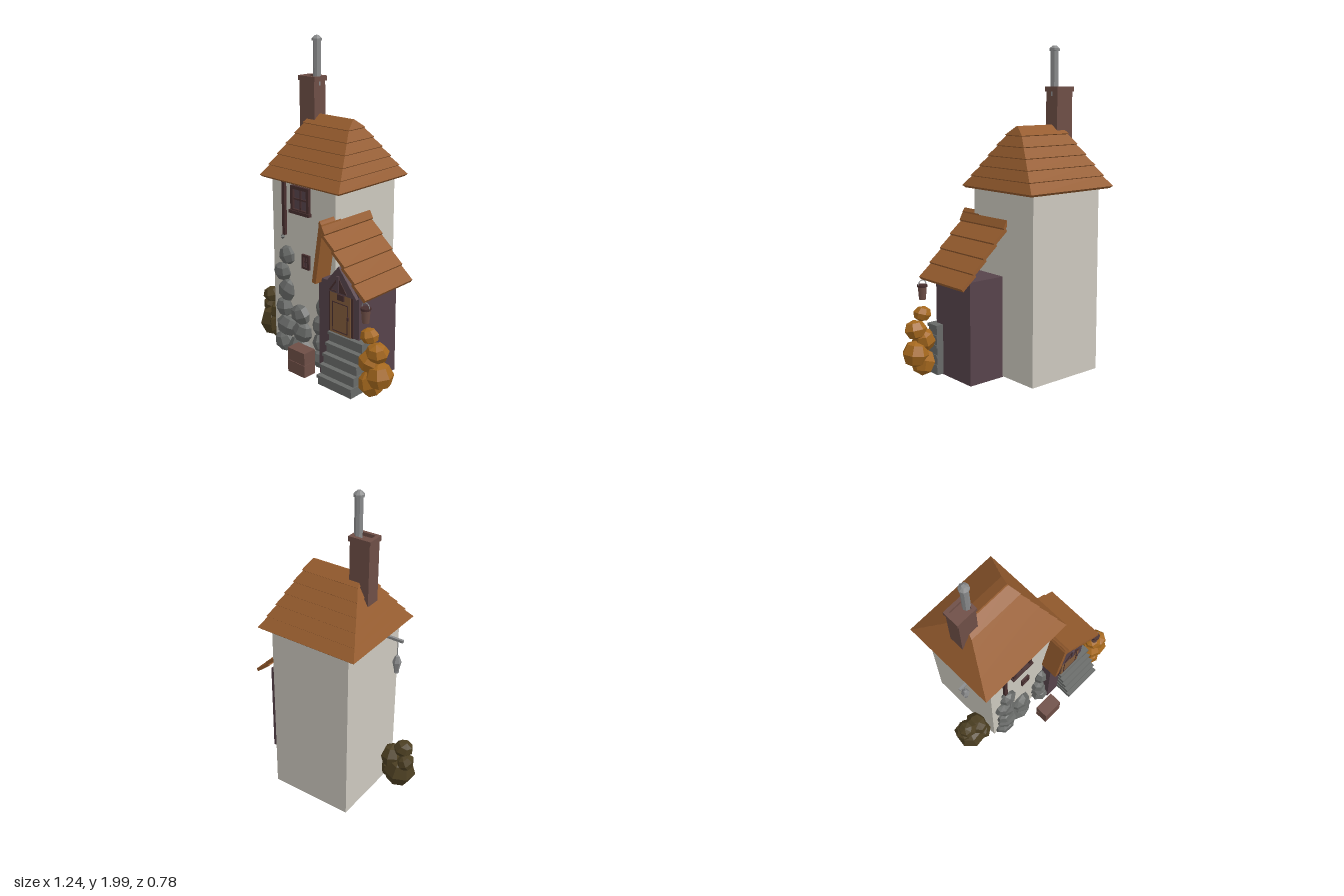
import * as THREE from 'three';

const mat = (name, color, flat = false) => {
  const m = new THREE.MeshStandardMaterial({ color, flatShading: flat });
  m.name = name;
  return m;
};

export function createModel() {
  const C = {
    wall: mat('plaster', 0xccc8be), roof: mat('roofTiles', 0x965c2e),
    brick: mat('brick', 0x6e4e46), purple: mat('purpleWood', 0x57434b),
    dark: mat('darkWood', 0x482f2f), stone: mat('stone', 0x686a68, true),
    metal: mat('metal', 0x8a8b8c, true), door: mat('doorWood', 0x835c3c),
    darkBush: mat('darkFoliage', 0x4c3f22, true), amber: mat('amberFoliage', 0xa5681e, true),
  };
  const model = new THREE.Group();
  model.name = 'towerHouse';

  const add = (name, geo, m, parent = model) => {
    const mesh = new THREE.Mesh(geo, m);
    mesh.name = name;
    parent.add(mesh);
    return mesh;
  };
  const group = (name) => {
    const g = new THREE.Group();
    g.name = name;
    model.add(g);
    return g;
  };
  // box given by its minimum and maximum corners
  const box = (name, m, x0, x1, y0, y1, z0, z1, parent) => {
    const mesh = add(name, new THREE.BoxGeometry(x1 - x0, y1 - y0, z1 - z0), m, parent);
    mesh.position.set((x0 + x1) / 2, (y0 + y1) / 2, (z0 + z1) / 2);
    return mesh;
  };
  const cyl = (name, m, rTop, rBot, h, sides, x, y, z, parent) => {
    const mesh = add(name, new THREE.CylinderGeometry(rTop, rBot, h, sides), m, parent);
    mesh.position.set(x, y, z);
    return mesh;
  };
  // outline in x and y, extruded from z0 to z1
  const prism = (name, m, pts, z0, z1, parent, hole) => {
    const s = new THREE.Shape(pts.map(([x, y]) => new THREE.Vector2(x, y)));
    if (hole) s.holes.push(new THREE.Path(hole.map(([x, y]) => new THREE.Vector2(x, y))));
    const geo = new THREE.ExtrudeGeometry(s, { depth: z1 - z0, bevelEnabled: false });
    return add(name, geo.translate(0, 0, z0), m, parent);
  };
  const rect = (x0, x1, y0, y1) => [[x0, y0], [x1, y0], [x1, y1], [x0, y1]];

  // closed solid lofted through rectangles [halfX, halfZ, y]
  const loft = (rings) => {
    const pos = [];
    const corners = rings.map(([hx, hz, y]) =>
      [[-hx, y, -hz], [-hx, y, hz], [hx, y, hz], [hx, y, -hz]]);
    const quad = (a, b, c, d) => [a, b, c, a, c, d].forEach((p) => pos.push(...p));
    for (let r = 0; r + 1 < corners.length; r++) {
      const lo = corners[r], hi = corners[r + 1];
      for (let i = 0; i < 4; i++) {
        const j = (i + 1) % 4;
        quad(lo[i], lo[j], hi[j], hi[i]);
      }
    }
    quad(...[...corners[0]].reverse());
    quad(...corners[corners.length - 1]);
    const geo = new THREE.BufferGeometry();
    geo.setAttribute('position', new THREE.Float32BufferAttribute(pos, 3));
    geo.computeVertexNormals();
    return geo;
  };

  // tower
  box('tower', C.wall, -0.4, 0.13, 0.02, 1.165, -0.34, 0.195);

  // hipped main roof in overlapping tiers
  const roof = group('mainRoof');
  roof.position.set(-0.139, 0, -0.078);
  for (let i = 0; i < 6; i++) {
    const hx = 0.331 - 0.028 * i, hz = 0.315 - 0.048 * i, y = 1.165 + 0.062 * i;
    const last = i === 5;
    add('roofTier', loft([
      [hx - 0.014, hz - 0.016, y - 0.014],
      [hx, hz, y],
      [last ? 0.162 : hx - 0.036, last ? 0.004 : hz - 0.058, last ? 1.528 : y + 0.062],
    ]), C.roof, roof);
  }

  // chimney with hollow cap and flue
  const chimney = group('chimney');
  box('chimneyStack', C.brick, -0.38, -0.254, 1.2, 1.735, -0.127, -0.03, chimney);
  const cap = prism('chimneyCap', C.brick, rect(-0.388, -0.248, 0.026, 0.135), 0, 0.03, chimney,
    rect(-0.365, -0.268, 0.046, 0.113));
  cap.rotation.x = -Math.PI / 2;
  cap.position.y = 1.726;
  cyl('flue', C.metal, 0.024, 0.024, 0.28, 8, -0.275, 1.84, -0.078, chimney);
  cyl('flueCollar', C.metal, 0.031, 0.031, 0.015, 8, -0.275, 1.975, -0.078, chimney);
  cyl('flueTop', C.metal, 0.012, 0.031, 0.018, 8, -0.275, 1.991, -0.078, chimney);

  // porch body and pointed front
  const porch = group('porch');
  box('porchBody', C.purple, 0.06, 0.375, 0.015, 0.64, -0.07, 0.265, porch);
  prism('gable', C.purple, [[0.095, 0.59], [0.375, 0.59], [0.237, 0.757]], 0.2, 0.288, porch);
  prism('gableInset', C.dark, [[0.165, 0.6], [0.305, 0.6], [0.237, 0.695]], 0.286, 0.292, porch,
    [[0.18, 0.605], [0.228, 0.605], [0.228, 0.668]]);
  box('gablePost', C.purple, 0.228, 0.246, 0.6, 0.7, 0.286, 0.298, porch);
  box('doorFrame', C.dark, 0.148, 0.335, 0.32, 0.6, 0.26, 0.272, porch);
  box('door', C.door, 0.162, 0.322, 0.33, 0.59, 0.268, 0.279, porch);
  prism('doorPanelRim', C.dark, rect(0.182, 0.302, 0.345, 0.53), 0.275, 0.282, porch,
    rect(0.187, 0.297, 0.35, 0.525));
  box('doorSign', C.dark, 0.226, 0.276, 0.55, 0.585, 0.278, 0.287, porch);
  box('doorKnob', C.dark, 0.3, 0.312, 0.44, 0.46, 0.278, 0.288, porch);

  // porch roof: shingle rows to the right, short steep slab to the left
  const pr = group('porchRoof');
  for (let i = 0; i < 5; i++) {
    const bx = 0.155 + 0.0775 * i, by = 0.938 - 0.079 * i;
    const tx = i ? bx - 0.095 : 0.116, ty = i ? by + 0.077 : 1.01;
    const t = 0.017;
    prism('shingleRow', C.roof,
      [[tx, ty], [tx - t * 0.6, ty - t], [bx - t * 0.7, by - t], [bx, by]], -0.11, 0.315, pr);
  }
  prism('leftSlab', C.roof, [[0.05, 0.62], [0.08, 0.615], [0.137, 0.955], [0.13, 0.99], [0.114, 1.01]],
    0.15, 0.315, pr);

  // steps
  const steps = group('steps');
  for (let i = 0; i < 5; i++) {
    const top = 0.083 + 0.062 * i, front = 0.39 - 0.024 * i;
    box('stepBody', C.stone, 0.16, 0.42, 0.02, top - 0.012, 0.2, front - 0.008, steps);
    box('tread', C.stone, 0.155, 0.425, top - 0.018, top, 0.2, front, steps);
  }

  // windows: frame, recessed panes and crossbars
  const windowAt = (name, x0, x1, y0, y1, w, depth) => {
    const g = group(name);
    const z = 0.195, cx = (x0 + x1) / 2, cy = (y0 + y1) / 2;
    prism('frame', C.dark, rect(x0, x1, y0, y1), z - 0.01, z + depth, g,
      rect(x0 + w, x1 - w, y0 + w, y1 - w));
    box('panes', C.purple, x0 + w, x1 - w, y0 + w, y1 - w, z - 0.005, z + 0.004, g);
    box('mullion', C.dark, cx - w / 4, cx + w / 4, y0 + w, y1 - w, z, z + depth * 0.6, g);
    box('transom', C.dark, x0 + w, x1 - w, cy - w / 4, cy + w / 4, z, z + depth * 0.6, g);
    return g;
  };
  const win = windowAt('window', -0.225, -0.072, 0.975, 1.14, 0.02, 0.02);
  box('sill', C.dark, -0.234, -0.065, 0.967, 0.987, 0.19, 0.222, win);
  windowAt('smallWindow', -0.143, -0.08, 0.625, 0.717, 0.015, 0.014);

  // wall post
  box('wallPost', C.dark, -0.3, -0.278, 0.81, 1.15, 0.19, 0.215);
  const tip = add('postWeight', new THREE.OctahedronGeometry(0.018), C.stone);
  tip.position.set(-0.307, 0.793, 0.205);

  // lantern on a bracket
  const lantern = group('lantern');
  box('bracket', C.metal, -0.512, -0.395, 1.086, 1.102, 0.049, 0.065, lantern);
  cyl('chain', C.metal, 0.003, 0.003, 0.11, 5, -0.477, 1.04, 0.057, lantern);
  const lamp = [[0, 0.865], [0.014, 0.87], [0.014, 0.885], [0.027, 0.945], [0.012, 0.985], [0, 0.995]];
  add('lamp', new THREE.LatheGeometry(lamp.map(([r, y]) => new THREE.Vector2(r, y)), 6), C.metal, lantern)
    .position.set(-0.477, 0, 0.057);

  // hanging bucket
  const bucket = group('bucket');
  cyl('bucketBody', C.brick, 0.028, 0.021, 0.085, 8, 0.455, 0.525, 0.298, bucket);
  cyl('bucketRim', C.dark, 0.031, 0.031, 0.014, 8, 0.455, 0.567, 0.298, bucket);
  add('handle', new THREE.TorusGeometry(0.028, 0.003, 5, 10, Math.PI), C.metal, bucket)
    .position.set(0.455, 0.574, 0.298);

  // crate
  const crate = group('crate');
  box('crateLower', C.brick, -0.088, 0.053, 0.02, 0.098, 0.3, 0.39, crate);
  box('crateUpper', C.brick, -0.088, 0.053, 0.101, 0.18, 0.3, 0.39, crate);

  // faceted clumps: [x, y, z, radiusX, radiusY, radiusZ]
  const clumps = (name, part, m, list) => {
    const g = group(name);
    list.forEach(([x, y, z, rx, ry, rz], i) => {
      const geo = new THREE.SphereGeometry(1.04, 7, 4);
      geo.rotateY(i * 1.3).rotateX(0.3 * Math.sin(i * 2.1)).rotateZ(0.35 * Math.cos(i * 1.7));
      const mesh = add(part, geo.scale(rx, ry, rz), m, g);
      mesh.position.set(x, y, z);
    });
  };
  clumps('wallStones', 'stone', C.stone, [
    [-0.27, 0.68, 0.2, 0.06, 0.06, 0.05], [-0.315, 0.56, 0.2, 0.066, 0.058, 0.05],
    [-0.28, 0.445, 0.2, 0.063, 0.075, 0.05], [-0.3, 0.325, 0.2, 0.068, 0.062, 0.055],
    [-0.16, 0.31, 0.2, 0.075, 0.065, 0.055], [-0.28, 0.2, 0.2, 0.088, 0.068, 0.06],
    [-0.145, 0.2, 0.2, 0.075, 0.07, 0.06], [-0.305, 0.085, 0.2, 0.08, 0.065, 0.06],
    [-0.165, 0.09, 0.2, 0.088, 0.068, 0.065], [0.035, 0.42, 0.2, 0.045, 0.075, 0.05],
    [0.01, 0.29, 0.2, 0.052, 0.065, 0.055], [0.02, 0.18, 0.2, 0.058, 0.06, 0.06],
    [0.03, 0.075, 0.21, 0.065, 0.06, 0.06],
  ]);
  clumps('darkBush', 'foliage', C.darkBush, [
    [-0.54, 0.305, 0.09, 0.062, 0.05, 0.06], [-0.46, 0.215, 0.09, 0.065, 0.075, 0.08],
    [-0.57, 0.225, 0.07, 0.05, 0.055, 0.06], [-0.52, 0.125, 0.09, 0.1, 0.1, 0.1],
    [-0.455, 0.12, 0.11, 0.07, 0.09, 0.08],
  ]);
  clumps('amberBush', 'foliage', C.amber, [
    [0.47, 0.4, 0.28, 0.055, 0.045, 0.055], [0.525, 0.31, 0.275, 0.07, 0.058, 0.065],
    [0.47, 0.24, 0.27, 0.07, 0.07, 0.075], [0.535, 0.165, 0.265, 0.08, 0.08, 0.08],
    [0.475, 0.1, 0.27, 0.075, 0.08, 0.075],
  ]);

  return model;
}
